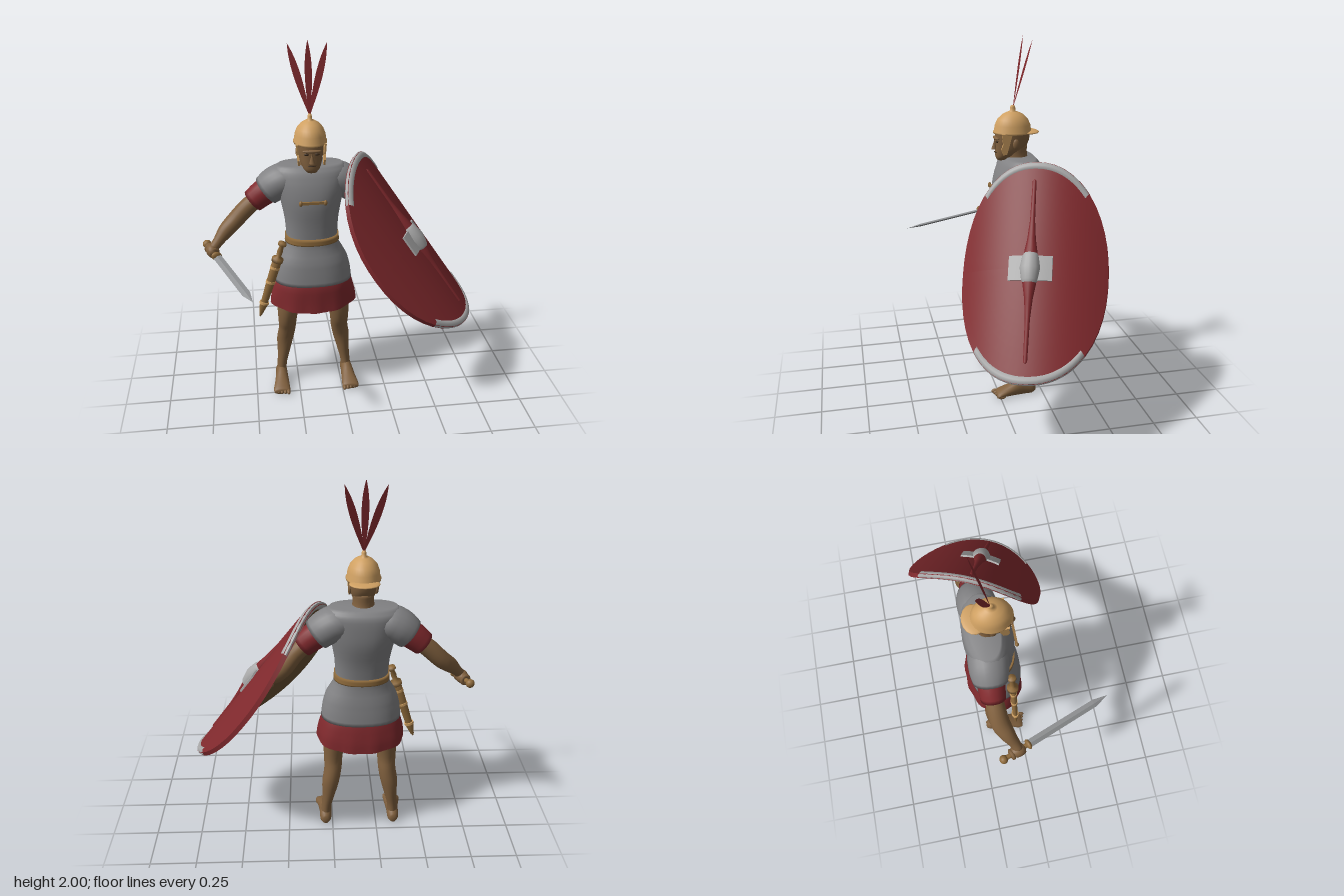
import * as THREE from 'three';
import { toCreasedNormals } from 'three/addons/utils/BufferGeometryUtils.js';

const V = (x, y, z) => new THREE.Vector3(x, y, z);
const UP = V(0, 1, 0), FWD = V(0, 0, 1);
const CX = -0.155; // body centre line

function paint(name, color, side = THREE.FrontSide) {
  const m = new THREE.MeshStandardMaterial({ color, side });
  m.name = name;
  return m;
}

// Skin through rows of [x, y, z, radiusA, radiusB]; rings face dir, or follow the path
function loft(rows, { dir, seg = 20, p = 2, open = false, sub = 3 } = {}) {
  const path = new THREE.CatmullRomCurve3(rows.map(r => V(r[0], r[1], r[2])));
  const radii = new THREE.CatmullRomCurve3(rows.map(r => V(r[3], r[4] ?? r[3], 0)));
  const n = (rows.length - 1) * sub, pos = [], idx = [];
  const bend = v => Math.sign(v) * Math.abs(v) ** (2 / p);
  for (let i = 0; i <= n; i++) {
    const c = path.getPoint(i / n), r = radii.getPoint(i / n), t = dir || path.getTangent(i / n);
    const a = t.clone().cross(Math.abs(t.z) > 0.9 ? UP : FWD).normalize();
    const b = a.clone().cross(t);
    for (let j = 0; j < seg; j++) {
      const q = j / seg * Math.PI * 2;
      const v = c.clone().addScaledVector(a, bend(Math.cos(q)) * r.x).addScaledVector(b, -bend(Math.sin(q)) * r.y);
      pos.push(v.x, v.y, v.z);
      const k = (j + 1) % seg, o = i * seg;
      if (i < n) idx.push(o + j, o + k, o + seg + k, o + j, o + seg + k, o + seg + j);
    }
  }
  if (!open) {
    for (const [end, o] of [[0, 0], [1, n * seg]]) {
      const c = path.getPoint(end), m = pos.length / 3;
      pos.push(c.x, c.y, c.z);
      for (let j = 0; j < seg; j++) {
        const k = (j + 1) % seg;
        if (end) idx.push(m, o + j, o + k); else idx.push(m, o + k, o + j);
      }
    }
  }
  const g = new THREE.BufferGeometry();
  g.setAttribute('position', new THREE.Float32BufferAttribute(pos, 3));
  g.setIndex(idx);
  g.computeVertexNormals();
  return g;
}

// Move every vertex by a rule
function reshape(geo, rule) {
  const p = geo.attributes.position, v = V(0, 0, 0);
  for (let i = 0; i < p.count; i++) {
    rule(v.fromBufferAttribute(p, i));
    p.setXYZ(i, v.x, v.y, v.z);
  }
  geo.computeVertexNormals();
  return geo;
}

const ball = (x, y, z) => new THREE.SphereGeometry(1, 16, 12).scale(x, y, z);
const profile = (pts, seg = 24) => new THREE.LatheGeometry(pts.map(p => new THREE.Vector2(...p)), seg);

export function createModel() {
  const model = new THREE.Group();
  const red = paint('red cloth', 0x80292d, THREE.DoubleSide);
  const skin = paint('skin', 0x80603e), armor = paint('grey armour', 0x828284);
  const pale = paint('pale metal', 0xaaaaaa), brass = paint('brass', 0xcfa062);
  const leather = paint('leather', 0x8f6b3c), wood = paint('wood', 0x6b5233);
  const steel = paint('steel', 0x8e9092), dark = paint('dark brown', 0x3d2c1c);

  const add = (parent, name, geo, mat, x = 0, y = 0, z = 0) => {
    const m = new THREE.Mesh(geo, mat);
    m.name = name;
    m.position.set(x, y, z);
    parent.add(m);
    return m;
  };
  const group = (name, x = 0, y = 0, z = 0) => {
    const g = new THREE.Group();
    g.name = name;
    g.position.set(x, y, z);
    model.add(g);
    return g;
  };

  // Torso armour, belt and clasp
  const body = rows => rows.map(([y, z, rx, rz]) => [CX, y, z, rx, rz]);
  add(model, 'torsoArmour', loft(body([[0.7, -0.115, 0.217, 0.147], [0.76, -0.115, 0.21, 0.14], [0.83, -0.115, 0.192, 0.13],
    [0.94, -0.12, 0.14, 0.108], [1.05, -0.125, 0.145, 0.115], [1.17, -0.135, 0.167, 0.13], [1.26, -0.145, 0.19, 0.122],
    [1.325, -0.155, 0.2, 0.105], [1.36, -0.155, 0.17, 0.075]]), { dir: UP, seg: 32, p: 2.3 }), armor);
  add(model, 'belt', loft(body([[0.932, -0.12, 0.15, 0.118], [0.968, -0.12, 0.147, 0.117]]), { dir: UP, seg: 32, p: 2.3 }), leather);
  add(model, 'chestClasp', new THREE.BoxGeometry(0.135, 0.014, 0.012), leather, CX, 1.185, -0.001);
  for (const s of [-1, 1]) add(model, 'claspKnob', ball(0.01, 0.015, 0.01), leather, CX + s * 0.065, 1.185, 0);

  // Skirt with soft folds
  const skirt = loft(body([[0.74, -0.115, 0.19, 0.125], [0.68, -0.115, 0.217, 0.145], [0.6, -0.12, 0.235, 0.155], [0.54, -0.12, 0.24, 0.16]].reverse()),
    { dir: UP, seg: 48, p: 2.2, open: true });
  reshape(skirt, v => {
    const drop = Math.max(0, 0.7 - v.y) / 0.16, a = Math.atan2(v.z + 0.12, v.x - CX);
    const f = 1 + 0.025 * drop * Math.sin(a * 9);
    v.set(CX + (v.x - CX) * f, v.y + drop * 0.02 * Math.abs(Math.cos(a)) ** 3, -0.12 + (v.z + 0.12) * f);
  });
  add(model, 'skirt', skirt, red);

  // Legs, feet, shoulders and sleeves, mirrored
  for (const s of [-1, 1]) {
    const at = rows => rows.map(([dx, ...rest]) => [CX + s * dx, ...rest]);
    add(model, 'leg', loft(at([[0.195, 0.03, -0.15, 0.03, 0.04], [0.19, 0.1, -0.153, 0.028, 0.038], [0.178, 0.18, -0.157, 0.035, 0.043],
      [0.165, 0.28, -0.157, 0.048, 0.048], [0.152, 0.36, -0.14, 0.049, 0.057], [0.15, 0.42, -0.12, 0.052, 0.067],
      [0.145, 0.5, -0.112, 0.06, 0.08], [0.13, 0.6, -0.115, 0.075, 0.09], [0.1, 0.72, -0.12, 0.085, 0.095]]), { dir: UP }), skin);
    const foot = loft(at([[0.195, 0.03, -0.208, 0.018, 0.022], [0.195, 0.036, -0.185, 0.032, 0.04], [0.195, 0.045, -0.13, 0.034, 0.052],
      [0.198, 0.032, -0.06, 0.041, 0.036], [0.202, 0.02, 0, 0.048, 0.021], [0.202, 0.014, 0.02, 0.045, 0.014]]), { dir: FWD });
    add(model, 'foot', reshape(foot, v => { v.y = Math.max(0, v.y); }), skin);
    for (let i = 0; i < 5; i++) {
      const r = 0.0135 - i * 0.001;
      add(model, 'toe', ball(r * 0.85, r, 0.022), skin, CX + s * (0.165 + i * 0.019), r, 0.02 - i * 0.006);
    }
    add(model, 'shoulderArmour', loft(at([[0.08, 1.275, -0.155, 0.07, 0.09], [0.14, 1.27, -0.16, 0.09, 0.103],
      [0.19, 1.243, -0.165, 0.092, 0.1], [0.238, 1.205, -0.168, 0.084, 0.086]])), armor);
    add(model, 'sleeve', loft(at([[0.2, 1.23, -0.165, 0.075, 0.075], [0.26, 1.19, -0.168, 0.072, 0.07], [0.312, 1.147, -0.17, 0.065, 0.063]])), red);
  }

  // Arms and hands
  add(model, 'rightArm', loft([[-0.42, 1.18, -0.17, 0.045], [-0.5, 1.115, -0.165, 0.048], [-0.57, 1.045, -0.155, 0.046, 0.05],
    [-0.62, 1, -0.13, 0.042], [-0.665, 0.95, -0.1, 0.029], [-0.695, 0.915, -0.085, 0.026]]), skin);
  add(model, 'rightHand', ball(0.034, 0.036, 0.045), skin, -0.7, 0.905, -0.09);
  add(model, 'leftArm', loft([[0.1, 1.19, -0.17, 0.045], [0.19, 1.115, -0.19, 0.047], [0.245, 1.04, -0.2, 0.045],
    [0.29, 0.97, -0.16, 0.04], [0.325, 0.92, -0.115, 0.029], [0.345, 0.895, -0.095, 0.026]]), skin);
  add(model, 'leftHand', ball(0.033, 0.036, 0.042), skin, 0.348, 0.885, -0.09);

  // Sword, built along +y from pommel to tip
  const from = V(-0.73, 0.905, -0.17), to = V(-0.495, 0.87, 0.445);
  const sword = group('sword', from.x, from.y, from.z);
  sword.quaternion.setFromUnitVectors(UP, to.clone().sub(from).normalize());
  add(sword, 'pommel', ball(0.024, 0.022, 0.024), leather);
  add(sword, 'grip', new THREE.CylinderGeometry(0.013, 0.013, 0.16, 12), leather, 0, 0.08);
  add(sword, 'guard', ball(0.03, 0.014, 0.024), leather, 0, 0.152);
  const edge = (top, h, y) => toCreasedNormals(new THREE.CylinderGeometry(top, 0.022, h, 4).scale(1, 1, 0.35).rotateY(0.7).translate(0, y, 0), 0.4);
  add(sword, 'blade', edge(0.021, 0.41, 0.365), steel);
  add(sword, 'bladeTip', edge(0, 0.09, 0.614), steel);
  for (let i = 0; i < 4; i++)
    add(sword, 'finger', new THREE.TorusGeometry(0.021, 0.011, 8, 14).rotateX(Math.PI / 2), skin, 0, 0.05 + i * 0.021);

  // Scabbard at the right hip
  const hipTop = V(-0.322, 0.94, -0.045), hipTip = V(-0.463, 0.495, -0.045);
  const scabbard = group('scabbard', hipTop.x, hipTop.y, hipTop.z);
  scabbard.quaternion.setFromUnitVectors(UP, hipTip.clone().sub(hipTop).normalize());
  add(scabbard, 'daggerHilt', profile([[0, -0.012], [0.022, -0.008], [0.024, 0.008], [0.012, 0.018], [0.016, 0.05], [0.012, 0.08], [0.032, 0.088], [0.032, 0.11], [0, 0.112]], 14), leather);
  add(scabbard, 'sheath', profile([[0, 0.11], [0.026, 0.112], [0.024, 0.25], [0.02, 0.36], [0.022, 0.39], [0.009, 0.45], [0, 0.468]], 14).scale(1, 1, 0.7), leather);
  for (const y of [0.15, 0.24, 0.375])
    add(scabbard, 'sheathBand', new THREE.CylinderGeometry(0.027, 0.027, 0.014, 14).scale(1, 1, 0.75), brass, 0, y);

  // Head and face
  const head = group('head', CX, 0, 0);
  add(head, 'neck', loft([[0, 1.32, -0.145, 0.07, 0.07], [0, 1.37, -0.135, 0.055, 0.06], [0, 1.43, -0.13, 0.055, 0.065]], { dir: UP }), skin);
  add(head, 'skull', loft([[0, 1.342, -0.05, 0.024, 0.02], [0, 1.36, -0.065, 0.043, 0.044], [0, 1.4, -0.098, 0.06, 0.079],
    [0, 1.45, -0.112, 0.067, 0.093], [0, 1.51, -0.115, 0.07, 0.095]], { dir: UP, seg: 28, p: 2.3 }), skin);
  add(head, 'nose', new THREE.ConeGeometry(0.016, 0.055, 8).scale(1, 1, 1.2), skin, 0, 1.428, -0.016);
  add(head, 'brow', ball(0.05, 0.009, 0.016), skin, 0, 1.462, -0.025);
  add(head, 'mouth', ball(0.022, 0.004, 0.008), dark, 0, 1.384, -0.022);
  for (const s of [-1, 1]) {
    add(head, 'eye', ball(0.014, 0.006, 0.006), dark, s * 0.027, 1.446, -0.024);
    add(head, 'ear', ball(0.01, 0.028, 0.018), skin, s * 0.068, 1.435, -0.12);
  }

  // Helmet with neck guard, cheek guards and plumes
  const helmet = group('helmet', CX, 0, -0.115);
  add(helmet, 'dome', profile([[0.07, 1.487], [0.088, 1.486], [0.089, 1.496], [0.084, 1.502], [0.081, 1.53], [0.069, 1.562], [0.048, 1.586], [0.025, 1.6],
    [0.013, 1.604], [0.012, 1.622], [0.008, 1.634], [0, 1.636]], 32).scale(1, 1, 1.2), brass);
  add(helmet, 'neckGuard', ball(0.078, 0.011, 0.06), brass, 0, 1.491, -0.085);
  const cheek = new THREE.Shape([[-0.028, 0.115], [0.03, 0.115], [0.022, 0.06], [0.032, 0.03], [0.02, 0], [0, 0.005], [-0.012, 0.05]].map(p => new THREE.Vector2(...p)));
  for (const s of [-1, 1]) {
    const guard = add(helmet, 'cheekGuard', new THREE.ExtrudeGeometry(cheek, { depth: 0.01, bevelEnabled: false }).translate(0, 0, -0.005).rotateY(-Math.PI / 2), brass, s * 0.066, 1.378, 0.045);
    guard.rotation.z = -s * 0.07;
  }
  const feather = new THREE.Shape();
  feather.moveTo(-0.003, 0);
  feather.bezierCurveTo(-0.012, 0.1, -0.034, 0.24, 0, 0.374);
  feather.bezierCurveTo(0.034, 0.24, 0.012, 0.1, 0.003, 0);
  for (const s of [-1, 0, 1]) {
    const plume = add(helmet, 'plume', new THREE.ShapeGeometry(feather, 16), red, 0, 1.628, -0.003);
    plume.rotation.set(s ? -0.21 : -0.135, 0, -s * 0.275);
  }

  // Shield: local x across, y along its length, z outward
  const shield = group('shield', 0.405, 0.915, -0.077);
  const along = V(0.555, -0.81, 0.187).normalize();
  const out = V(-0.4, -0.065, 0.91).cross(along).normalize();
  shield.quaternion.setFromRotationMatrix(new THREE.Matrix4().makeBasis(along.clone().cross(out), along, out));
  const curve = geo => reshape(geo, v => { v.z -= 0.95 * v.x * v.x; });
  const oval = geo => reshape(geo, v => {
    const r = Math.hypot(v.x, v.y) || 1, e = 2.2;
    const f = (Math.abs(v.x / r) ** e + Math.abs(v.y / r) ** e) ** (-1 / e);
    v.x *= f * 0.375;
    v.y *= f * 0.565;
    v.z -= 0.95 * v.x * v.x;
  });
  const disc = () => new THREE.RingGeometry(0.001, 1, 48, 10);
  add(shield, 'shieldFace', oval(disc().translate(0, 0, 0.012)), red);
  add(shield, 'shieldBack', oval(disc().rotateY(Math.PI).translate(0, 0, -0.012)), wood);
  add(shield, 'shieldEdge', oval(new THREE.CylinderGeometry(1, 1, 0.024, 48, 1, true).rotateX(Math.PI / 2)), red);
  for (const turn of [0.25, 1.25])
    add(shield, 'shieldRim', oval(new THREE.TorusGeometry(0.965, 0.042, 8, 20, Math.PI / 2).scale(1, 1, 0.45).rotateZ(turn * Math.PI)), pale);
  add(shield, 'bossPlate', curve(new THREE.BoxGeometry(0.22, 0.125, 0.012, 10, 1, 1).translate(0, 0, 0.016)), pale);
  add(shield, 'spine', profile([[0, -0.47], [0.01, -0.46], [0.013, -0.25], [0.022, -0.15], [0.036, -0.07], [0.036, 0.07], [0.022, 0.15], [0.013, 0.25], [0.01, 0.46], [0, 0.47]], 14), red, 0, 0, 0.012).scale.z = 0.9;
  add(shield, 'boss', profile([[0.034, -0.075], [0.042, -0.06], [0.052, 0], [0.042, 0.06], [0.034, 0.075]], 18), pale, 0, 0, 0.012);
  // Hand grip behind the boss
  add(shield, 'shieldGrip', new THREE.CylinderGeometry(0.012, 0.012, 0.2, 10).rotateZ(Math.PI / 2), leather, 0, 0, -0.07);
  for (let i = 0; i < 4; i++)
    add(shield, 'finger', new THREE.TorusGeometry(0.02, 0.011, 8, 14).rotateY(Math.PI / 2), skin, -0.03 + i * 0.021, 0, -0.07);

  return model;
}
